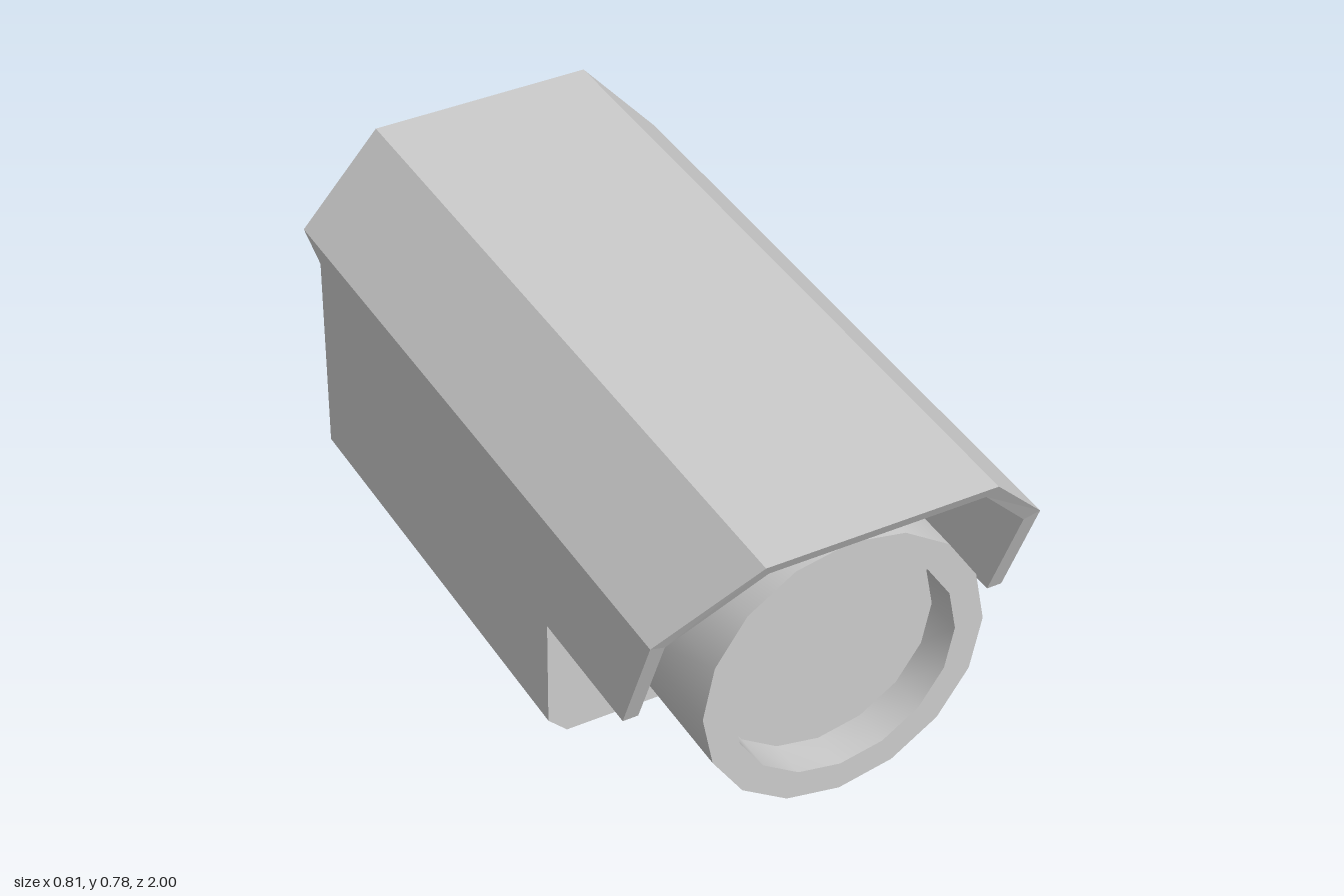
import * as THREE from 'three';
import { toCreasedNormals } from 'three/addons/utils/BufferGeometryUtils.js';

const smooth = new THREE.MeshStandardMaterial({ color: 0xcccccc });
const flat = new THREE.MeshStandardMaterial({ color: 0xcccccc, flatShading: true });

const BACK = -0.565;
const LENS_Y = 0.378;
const MOUNT_Y = 0.333;

// Closed shape from its +x half, mirrored to -x
function mirroredShape(half) {
  const other = half.map(([x, y]) => [-x, y]).reverse();
  return new THREE.Shape([...half, ...other].map(([x, y]) => new THREE.Vector2(x, y)));
}

function extrude(shape, depth) {
  return new THREE.ExtrudeGeometry(shape, { depth, bevelEnabled: false });
}

// Piecewise linear lookup over [y, z] pairs with rising y
function lookup(table, y) {
  for (let i = 1; i < table.length; i++) {
    const [y0, z0] = table[i - 1], [y1, z1] = table[i];
    if (y <= y1 + 1e-4) return z0 + (z1 - z0) * (y - y0) / (y1 - y0);
  }
  return table[table.length - 1][1];
}

export function createModel() {
  const model = new THREE.Group();
  const add = (name, geometry, material) => {
    const mesh = new THREE.Mesh(geometry, material);
    mesh.name = name;
    model.add(mesh);
    return mesh;
  };

  // Housing: chamfered block
  const housing = mirroredShape([[0.335, 0], [0.375, 0.04], [0.375, 0.58], [0.222, 0.755]]);
  add('housing', extrude(housing, 0.44 - BACK), flat).position.z = BACK;

  // Sun shield: folded sheet whose ends are cut at a slant
  const shield = mirroredShape([
    [0.222, 0.755], [0.375, 0.58], [0.375, 0.343],
    [0.407, 0.343], [0.407, 0.592], [0.237, 0.783],
  ]);
  const shieldGeo = extrude(shield, 1);
  const frontCut = [[0.343, 0.8], [0.592, 0.9], [0.783, 1]];
  const backCut = [[0.343, -0.06], [0.592, BACK], [0.783, BACK]];
  const pos = shieldGeo.attributes.position;
  for (let i = 0; i < pos.count; i++) {
    pos.setZ(i, lookup(pos.getZ(i) > 0.5 ? frontCut : backCut, pos.getY(i)));
  }
  shieldGeo.computeVertexNormals();
  add('sunShield', shieldGeo, flat);

  // Lens barrel with recessed glass, on a narrower neck
  const barrel = [[0, 0.64], [0.298, 0.64], [0.298, 0.9], [0.237, 0.9], [0.237, 0.82], [0, 0.82]];
  const barrelGeo = new THREE.LatheGeometry(barrel.map(([r, z]) => new THREE.Vector2(r, z)), 16);
  barrelGeo.rotateX(Math.PI / 2);
  add('lensBarrel', toCreasedNormals(barrelGeo, 0.6), smooth).position.y = LENS_Y;

  const neckGeo = new THREE.CylinderGeometry(0.245, 0.245, 0.2, 16).rotateX(Math.PI / 2);
  add('lensNeck', neckGeo, smooth).position.set(0, LENS_Y, 0.54);

  // Rear mount: short rod and ball
  const rodGeo = new THREE.CylinderGeometry(0.067, 0.067, 0.2, 6).rotateX(Math.PI / 2).scale(0.9, 1, 1);
  add('mountRod', rodGeo, smooth).position.set(0, MOUNT_Y, BACK - 0.1);

  const ballGeo = new THREE.SphereGeometry(0.156, 8, 6).rotateZ(Math.PI / 2);
  add('mountBall', ballGeo, smooth).position.set(0, MOUNT_Y, -0.844);

  return model;
}
